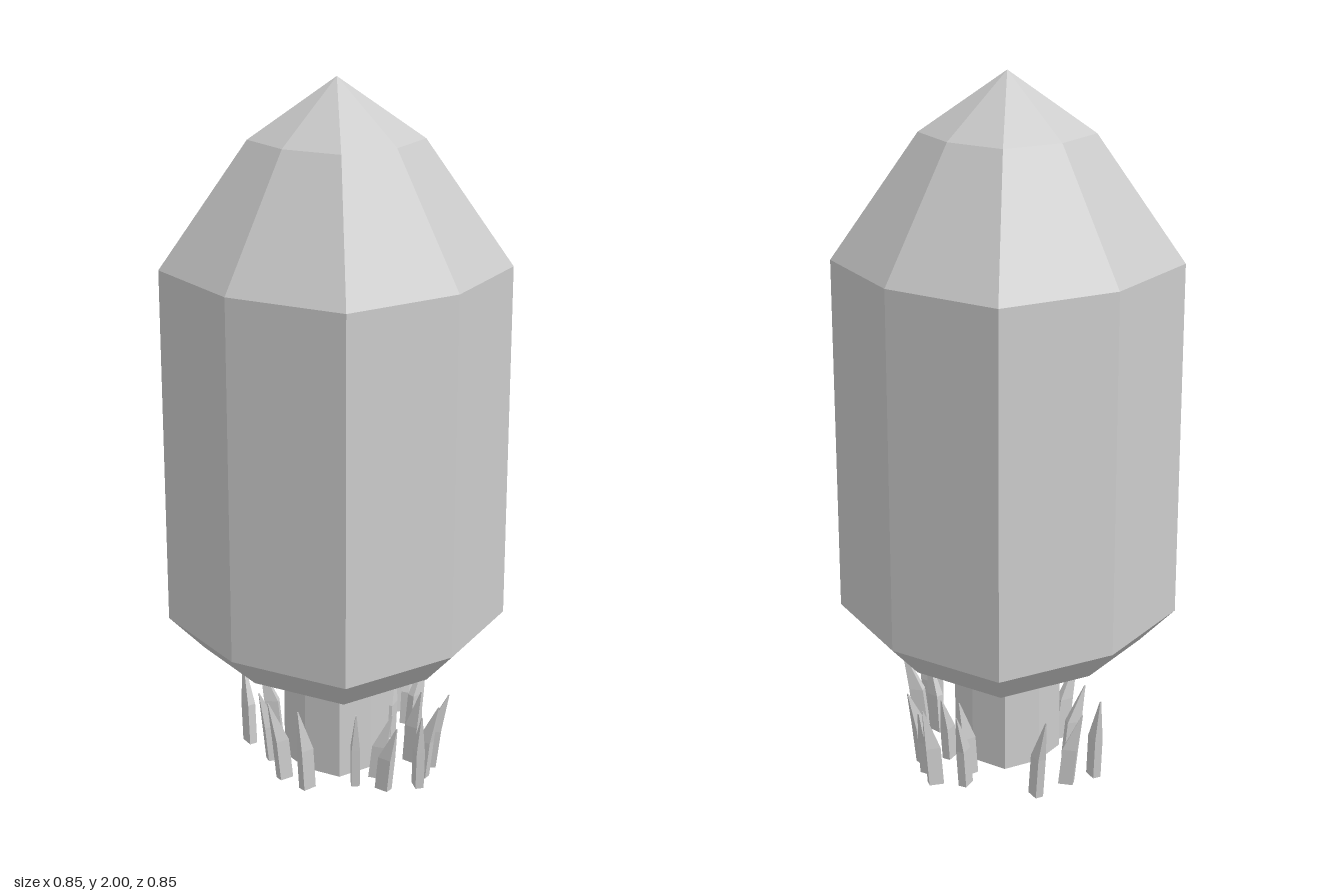
import * as THREE from 'three';

const material = new THREE.MeshStandardMaterial({ color: 0xcccccc, flatShading: true });

// Eight-sided body of [radius, height] rings, with the four diagonal corners pushed outward
function facetedBody(profile, name) {
  const geo = new THREE.LatheGeometry(profile.map(([r, y]) => new THREE.Vector2(r, y)), 8);
  const p = geo.attributes.position;
  for (let i = 0; i < p.count; i++) {
    const corner = Math.floor(i / profile.length) % 2 === 1;
    const k = corner ? 1.131 : 1;
    p.setXYZ(i, p.getX(i) * k, p.getY(i), p.getZ(i) * k);
  }
  const flat = geo.toNonIndexed();
  flat.computeVertexNormals();
  const mesh = new THREE.Mesh(flat, material);
  mesh.name = name;
  return mesh;
}

// Grass blade: a thin box that narrows to a point and bends toward its local +x
function bladeGeometry(height, lean) {
  const geo = new THREE.BoxGeometry(1, 1, 1, 1, 2, 1);
  const p = geo.attributes.position;
  for (let i = 0; i < p.count; i++) {
    const t = p.getY(i) + 0.5;
    const width = t > 0.9 ? 0.003 : 0.042;
    const depth = t > 0.9 ? 0.003 : 0.024;
    p.setXYZ(i, p.getX(i) * width + lean * t * t, t * height, p.getZ(i) * depth);
  }
  geo.computeVertexNormals();
  return geo;
}

// Blade bases of each tuft as [x, z]
const tufts = [
  { name: 'backGrass', y: 0, bases: [[-0.09, -0.27], [-0.12, -0.14], [-0.18, -0.04], [-0.18, 0.05], [0, -0.25], [0.11, -0.24]] },
  { name: 'sideGrass', y: 0.03, bases: [[0.31, -0.04], [0.28, 0.03], [0.25, -0.1], [0.2, -0.06], [0.18, 0.05], [0.25, 0.08]] },
  { name: 'frontGrass', y: 0.03, bases: [[0, 0.31], [-0.08, 0.25], [0.05, 0.28], [0.1, 0.2], [-0.04, 0.19], [0.11, 0.26], [-0.11, 0.17]] },
];

export function createModel() {
  const group = new THREE.Group();

  group.add(facetedBody([[0, 0.025], [0.135, 0.025], [0.135, 0.4]], 'trunk'));
  group.add(facetedBody(
    [[0, 0.37], [0.337, 0.37], [0.425, 0.465], [0.425, 1.485], [0.21, 1.835], [0, 2]], 'foliage'));

  for (const { name, y, bases } of tufts) {
    const tuft = new THREE.Group();
    tuft.name = name;
    bases.forEach(([x, z], i) => {
      const height = (i % 3 === 1 ? 0.2 : 0.23) + (y ? 0 : 0.02);
      const blade = new THREE.Mesh(bladeGeometry(height, 0.035 + 0.01 * (i % 3)), material);
      blade.name = 'grassBlade';
      blade.position.set(x, y, z);
      // Lean away from the trunk, with a little variation
      blade.rotation.y = Math.atan2(-z, x) + ((i * 5) % 7 - 3) * 0.2;
      tuft.add(blade);
    });
    group.add(tuft);
  }
  return group;
}
